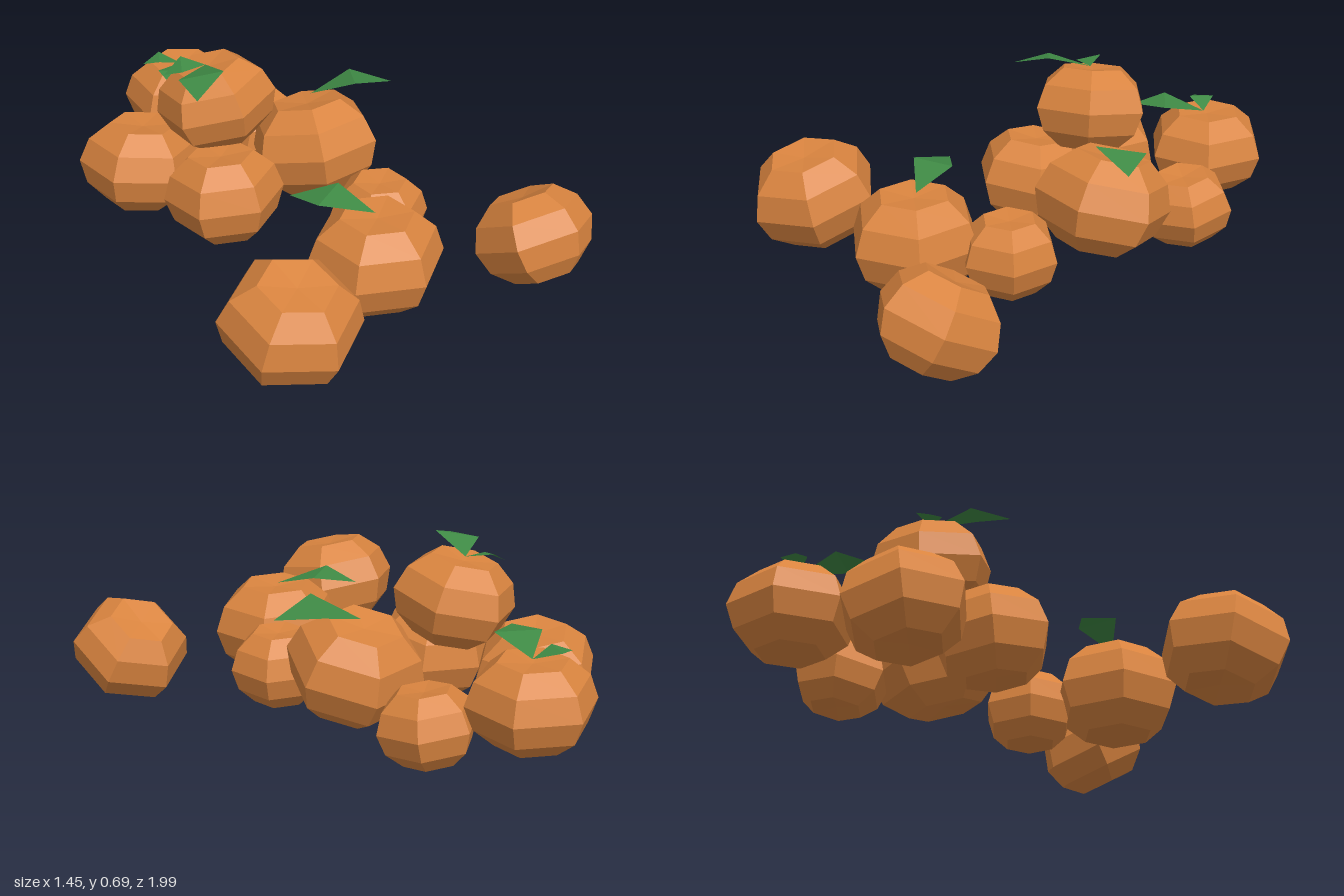
import * as THREE from 'three';

const skin = new THREE.MeshStandardMaterial({ color: 0xd9843f });
skin.name = 'orangeSkin';
const leafGreen = new THREE.MeshStandardMaterial({ color: 0x3f8a45, side: THREE.DoubleSide });
leafGreen.name = 'leafGreen';

// Six-sided squashed ball with a shallow dimple at both poles, one corner facing +z
function pumpkinGeometry() {
  const geo = new THREE.SphereGeometry(1, 6, 6);
  const p = geo.attributes.position;
  for (let i = 0; i < p.count; i++) {
    const y = p.getY(i);
    if (Math.abs(y) > 0.95) p.setY(i, Math.sign(y) * 0.8);
    else if (Math.abs(y) > 0.8) p.setXYZ(i, p.getX(i) * 1.08, y, p.getZ(i) * 1.08);
  }
  geo.rotateY(Math.PI / 2);
  return geo;
}

// Place one pumpkin: centre, radius, half height, lean of its axis in x and z, yaw
function pumpkin(name, [x, y, z], radius, height, lean = [0, 0], yaw = 0) {
  const geo = pumpkinGeometry().scale(radius, height, radius);
  const axis = new THREE.Vector3(lean[0], 1, lean[1]).normalize();
  const q = new THREE.Quaternion().setFromUnitVectors(new THREE.Vector3(0, 1, 0), axis);
  q.multiply(new THREE.Quaternion().setFromAxisAngle(new THREE.Vector3(0, 1, 0), yaw));
  geo.applyQuaternion(q);
  const flat = geo.toNonIndexed();
  flat.computeVertexNormals();
  const mesh = new THREE.Mesh(flat, skin);
  mesh.name = name;
  mesh.position.set(x, y, z);
  return mesh;
}

// Leaf made of two triangles folded across the middle
function leaf(name, base, sideA, sideB, tip) {
  const up = (a, b, c) => {
    const n = (b[2] - a[2]) * (c[0] - a[0]) - (b[0] - a[0]) * (c[2] - a[2]);
    return n > 0 ? [a, b, c] : [a, c, b];
  };
  const pts = [...up(base, sideA, sideB), ...up(tip, sideA, sideB)];
  const geo = new THREE.BufferGeometry();
  geo.setAttribute('position', new THREE.Float32BufferAttribute(pts.flat(), 3));
  geo.computeVertexNormals();
  const mesh = new THREE.Mesh(geo, leafGreen);
  mesh.name = name;
  return mesh;
}

export function createModel() {
  const model = new THREE.Group();
  model.name = 'pumpkinPile';

  // Pumpkins
  model.add(
    pumpkin('backPumpkin', [0.075, 0.27, -0.77], 0.235, 0.175, [0, 0], -0.16),
    pumpkin('backRightPumpkin', [-0.3, 0.205, -0.52], 0.238, 0.185, [0.15, -0.05]),
    pumpkin('backLeftPumpkin', [0.28, 0.168, -0.485], 0.185, 0.15, [0, 0.13]),
    pumpkin('topPumpkin', [-0.085, 0.495, -0.31], 0.23, 0.175, [-0.15, -0.17], -0.16),
    pumpkin('middleRightPumpkin', [-0.195, 0.22, -0.12], 0.226, 0.185, [0, -0.1]),
    pumpkin('middleLeftPumpkin', [0.24, 0.275, -0.12], 0.258, 0.2, [0, -0.28], Math.PI / 6),
    pumpkin('smallPumpkin', [0.22, 0.167, 0.285], 0.185, 0.158),
    pumpkin('frontPumpkin', [-0.015, 0.205, 0.53], 0.248, 0.197, [0, 0], 0.04),
    pumpkin('frontRightPumpkin', [-0.51, 0.237, 0.667], 0.248, 0.193, [0, 0.22]),
    pumpkin('frontLeftPumpkin', [0.527, 0.2, 0.778], 0.224, 0.175, [0, -0.58])
  );

  // Large leaves
  model.add(
    leaf('frontLeaf', [-0.015, 0.38, 0.52], [-0.04, 0.43, 0.35], [-0.19, 0.43, 0.42], [-0.19, 0.395, 0.265]),
    leaf('middleLeaf', [0.255, 0.47, -0.16], [0.44, 0.52, -0.15], [0.34, 0.55, 0], [0.525, 0.5, 0]),
    leaf('topLeaf', [-0.115, 0.645, -0.33], [-0.155, 0.7, -0.16], [-0.285, 0.665, -0.26], [-0.31, 0.65, -0.11]),
    leaf('backLeaf', [0.065, 0.42, -0.76], [0.04, 0.465, -0.58], [-0.09, 0.465, -0.69], [-0.11, 0.445, -0.545])
  );

  // Small leaves beside the two rear large ones
  model.add(
    leaf('topSmallLeaf', [-0.115, 0.645, -0.33], [-0.165, 0.66, -0.42], [-0.215, 0.64, -0.34], [-0.25, 0.615, -0.405]),
    leaf('backSmallLeaf', [0.065, 0.42, -0.76], [0.02, 0.45, -0.85], [-0.03, 0.45, -0.77], [-0.07, 0.43, -0.83])
  );
  return model;
}
